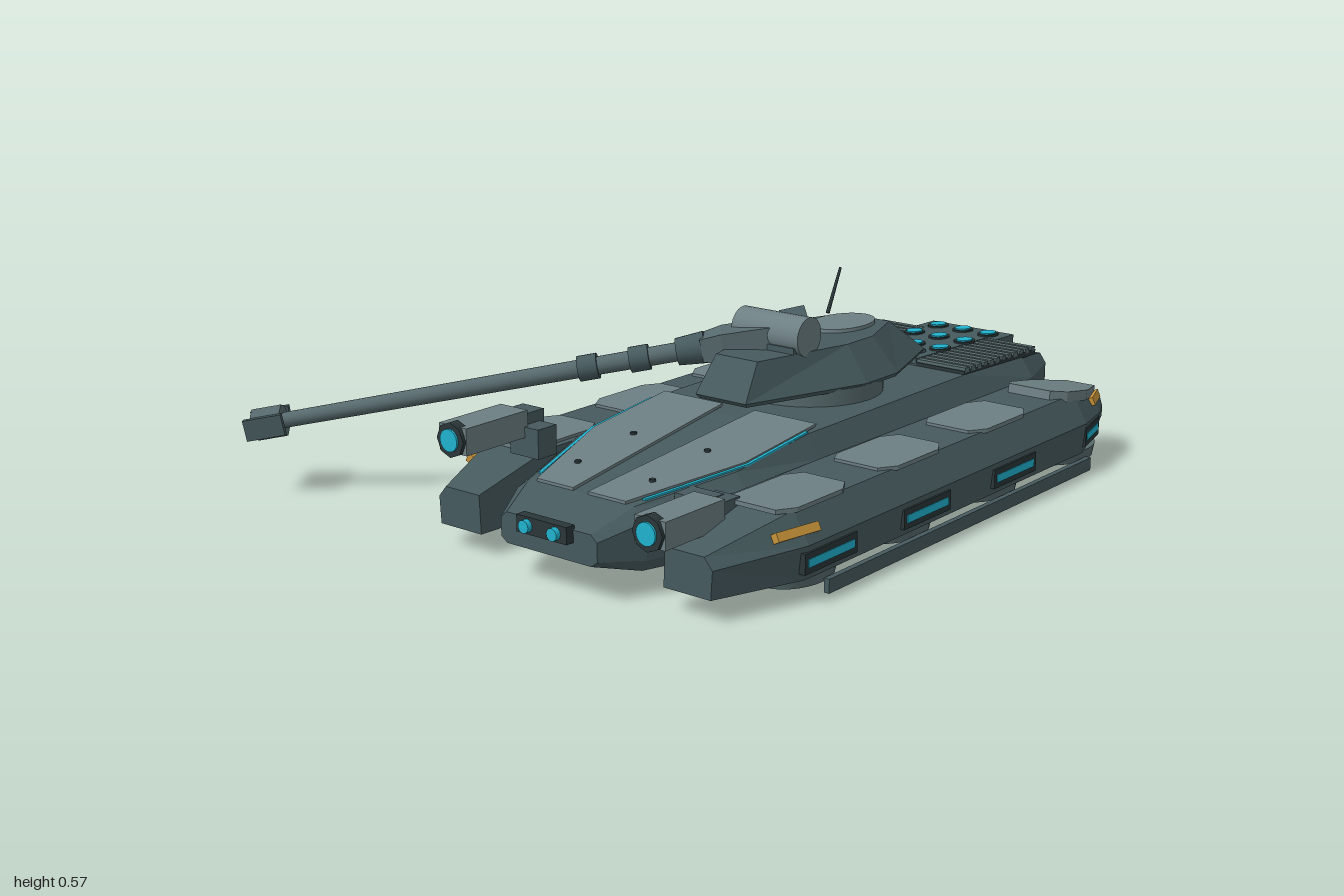
import * as THREE from 'three';

const mat = (name, color) => {
  const m = new THREE.MeshStandardMaterial({ color });
  m.name = name;
  return m;
};

export function createModel() {
  const HULL = mat('hull grey', 0x465a5e), LIGHT = mat('panel grey', 0x6d7f83), METAL = mat('gun metal', 0x576a6d);
  const DARK = mat('dark trim', 0x2a3639), GLOW = mat('cyan glow', 0x20b4d0), AMBER = mat('amber marker', 0xc8943a);
  const model = new THREE.Group();
  model.name = 'hoverTank';
  const body = new THREE.Group();
  body.name = 'body';
  body.position.x = 0.335;
  model.add(body);

  const add = (parent, name, geo, material, x = 0, y = 0, z = 0, rx = 0, ry = 0, rz = 0) => {
    const m = new THREE.Mesh(geo, material);
    m.name = name;
    m.position.set(x, y, z);
    m.rotation.set(rx, ry, rz);
    parent.add(m);
    return m;
  };
  const box = (w, h, d) => new THREE.BoxGeometry(w, h, d);
  const cyl = (r1, r2, h, n = 24) => new THREE.CylinderGeometry(r1, r2, h, n);
  const zCyl = (rFront, rBack, l, n = 20) => cyl(rFront, rBack, l, n).rotateX(Math.PI / 2);

  // Flat-faced skin through rings of [x, y, z] points, capped at both ends
  const loft = (rings) => {
    const pos = [], tri = (...p) => p.forEach((v) => pos.push(...v));
    const n = rings[0].length, last = rings[rings.length - 1];
    for (let k = 0; k < rings.length - 1; k++) for (let j = 0; j < n; j++) {
      const a = rings[k][j], b = rings[k][(j + 1) % n], c = rings[k + 1][(j + 1) % n], d = rings[k + 1][j];
      tri(a, b, c);
      tri(a, c, d);
    }
    for (let j = 1; j < n - 1; j++) {
      tri(rings[0][0], rings[0][j + 1], rings[0][j]);
      tri(last[0], last[j], last[j + 1]);
    }
    const g = new THREE.BufferGeometry();
    g.setAttribute('position', new THREE.Float32BufferAttribute(pos, 3));
    g.computeVertexNormals();
    return g;
  };
  // Horizontal plate from an outline of [x, z] points
  const plate = (pts, depth) => new THREE.ExtrudeGeometry(
    new THREE.Shape(pts.map(([x, z]) => new THREE.Vector2(x, -z))), { depth, bevelEnabled: false }).rotateX(-Math.PI / 2);

  // Hull: mirrored half sections from rear to nose
  const half = (z, p) => [...p.map(([x, y]) => [x, y, z]), ...p.slice().reverse().map(([x, y]) => [-x, y, z])];
  add(body, 'hull', loft([
    half(-1, [[0.23, 0.105], [0.255, 0.15], [0.255, 0.235], [0.235, 0.262]]),
    half(-0.82, [[0.27, 0.065], [0.31, 0.1], [0.315, 0.235], [0.275, 0.29]]),
    half(-0.5, [[0.28, 0.065], [0.31, 0.1], [0.312, 0.235], [0.275, 0.302]]),
    half(0.25, [[0.28, 0.065], [0.3, 0.1], [0.305, 0.235], [0.27, 0.298]]),
    half(0.55, [[0.28, 0.065], [0.295, 0.1], [0.295, 0.228], [0.262, 0.264]]),
    half(0.84, [[0.2, 0.07], [0.215, 0.1], [0.215, 0.2], [0.175, 0.23]]),
    half(0.96, [[0.14, 0.1], [0.16, 0.115], [0.16, 0.165], [0.14, 0.182]]),
  ]), HULL);

  // Glacis plates with glowing edges, following the slope of the bow
  const slope = (g) => {
    const p = g.attributes.position;
    for (let i = 0; i < p.count; i++) p.setY(i, p.getY(i) + 0.298 - (p.getZ(i) - 0.25) * 0.115);
    g.computeVertexNormals();
    return g;
  };
  for (const s of [1, -1]) {
    const side = new THREE.Group();
    side.name = s > 0 ? 'leftGlacis' : 'rightGlacis';
    side.scale.x = s;
    body.add(side);
    add(side, 'glacisPlate', slope(plate([[0.055, 0.2], [0.025, 0.84], [0.148, 0.84], [0.255, 0.5], [0.258, 0.2]], 0.008)), LIGHT);
    add(side, 'glacisGlow', slope(plate([[0.259, 0.25], [0.257, 0.5], [0.168, 0.8], [0.178, 0.8], [0.266, 0.5], [0.268, 0.25]], 0.005)), GLOW);
    for (const z of [0.49, 0.71]) add(side, 'bolt', cyl(0.009, 0.009, 0.014, 8), DARK, 0.125, 0.305 - (z - 0.25) * 0.115, z);
  }

  // Nose lamps
  add(body, 'noseLampHousing', box(0.166, 0.045, 0.03), DARK, 0, 0.172, 0.97);
  for (const x of [-0.047, 0.047]) add(body, 'noseLamp', zCyl(0.017, 0.017, 0.016, 12), GLOW, x, 0.172, 0.992);

  // Engine deck: slats and glowing vents
  const deck = new THREE.Group();
  deck.name = 'engineDeck';
  deck.position.set(0, 0.298, -0.7);
  deck.rotation.x = -0.03;
  body.add(deck);
  add(deck, 'deckBase', box(0.55, 0.016, 0.4), DARK);
  for (let i = 0; i < 12; i++) for (const s of [-1, 1])
    add(deck, 'slat', box(0.17, 0.014, 0.022), METAL, s * 0.19, 0.01, -0.185 + i * 0.0336);
  add(deck, 'ventPanel', box(0.22, 0.026, 0.44), HULL, 0, 0.006, -0.02);
  add(deck, 'rearVentPanel', box(0.29, 0.026, 0.1), HULL, 0, 0.005, -0.24);
  for (const z of [-0.23, -0.095, 0.04]) for (const x of [-0.09, 0, 0.09]) {
    add(deck, 'ventRim', cyl(0.029, 0.029, 0.018, 12).scale(1, 1, 1.4), DARK, x, 0.015, z);
    add(deck, 'vent', cyl(0.022, 0.022, 0.008, 12).scale(1, 1, 1.4), GLOW, x, 0.024, z);
  }
  add(body, 'deckBlock', box(0.165, 0.035, 0.09), HULL, 0, 0.312, -0.55);

  // Side pods, mirrored: inner bottom, outer bottom, outer waist, outer top, inner top
  const podRing = (z, p) => p.map(([x, y]) => [x, y, z]);
  const full = [[0.295, 0.065], [0.54, 0.065], [0.55, 0.155], [0.502, 0.235], [0.305, 0.235]];
  const podGeo = loft([
    podRing(-0.98, [[0.37, 0.11], [0.465, 0.11], [0.465, 0.14], [0.455, 0.17], [0.375, 0.17]]),
    podRing(-0.88, [[0.34, 0.065], [0.49, 0.065], [0.512, 0.15], [0.48, 0.2], [0.345, 0.2]]),
    podRing(-0.73, full),
    podRing(0.63, full),
    podRing(0.885, [[0.305, 0.065], [0.45, 0.065], [0.455, 0.14], [0.43, 0.17], [0.31, 0.17]]),
  ]);
  // Chamfered pad outline centred on its own middle
  const pad = (w, l, cx, rear) => [[-w, l - 0.04], [-w + 0.02, l], [w - 0.03, l], [w, l - 0.05],
    [w, -l + rear], [w - cx, -l], [-w + cx, -l], [-w, -l + rear]];
  for (const s of [1, -1]) {
    const pod = new THREE.Group();
    pod.name = s > 0 ? 'leftPod' : 'rightPod';
    pod.scale.x = s;
    body.add(pod);
    add(pod, 'podShell', podGeo, HULL);
    for (const z of [0.53, 0.095, -0.34]) add(pod, 'topPad', plate(pad(0.093, 0.145, 0.03, 0.05), 0.012), LIGHT, 0.418, 0.231, z);
    add(pod, 'rearTopPad', plate(pad(0.093, 0.148, 0.045, 0.13), 0.03), LIGHT, 0.418, 0.208, -0.775, -0.16);

    // Hover pads below
    for (const z of [0.54, 0.11, -0.33, -0.77]) {
      add(pod, 'hoverRing', cyl(0.09, 0.084, 0.035, 28).scale(1, 1, 1.45), METAL, 0.445, 0.05, z);
      add(pod, 'hoverGlow', cyl(0.066, 0.066, 0.006, 28).scale(1, 1, 1.45), GLOW, 0.445, 0.031, z);
    }
    // Skid rails
    for (const x of [0.285, 0.54]) add(pod, 'skidRail', box(0.016, 0.038, 1.31), HULL, x, 0.024, -0.115);

    // Side lamps and amber markers
    const lamp = (x, z, l, ry) => {
      add(pod, 'sideLampFrame', box(0.018, 0.054, l), DARK, x, 0.112, z, 0, ry);
      add(pod, 'sideLamp', box(0.022, 0.022, l - 0.025), GLOW, x, 0.112, z, 0, ry);
    };
    for (const z of [0.54, 0.11, -0.33]) lamp(0.545, z, 0.22, 0);
    lamp(0.523, -0.8, 0.15, 0.25);
    add(pod, 'frontMarker', box(0.022, 0.024, 0.14), AMBER, 0.522, 0.187, 0.645, 0, -0.18, 0.5);
    add(pod, 'rearMarker', box(0.022, 0.024, 0.1), AMBER, 0.484, 0.187, -0.885, 0, 0.35, 0.4);
  }

  // Bow gun pods, one raised and one low
  for (const [name, x, y, px, py] of [['rightGunPod', -0.33, 0.332, -0.285, 0.285], ['leftGunPod', 0.32, 0.225, 0.27, 0.21]]) {
    const gun = new THREE.Group();
    gun.name = name;
    gun.position.set(x, y, 0);
    body.add(gun);
    add(gun, 'gunCase', box(0.096, 0.072, 0.225), LIGHT, 0, 0, 0.84);
    add(gun, 'gunFace', zCyl(0.047, 0.047, 0.03, 8), DARK, 0, 0, 0.948);
    add(gun, 'gunLens', zCyl(0.03, 0.03, 0.01, 16), GLOW, 0, 0, 0.964);
    add(gun, 'gunBack', box(0.075, 0.05, 0.08), HULL, 0, -0.002, 0.695);
    add(body, 'gunMount', box(0.1, 0.08, 0.07), HULL, px, py, 0.705);
  }

  // Turret
  add(body, 'turretRing', cyl(0.21, 0.21, 0.06, 40), METAL, 0, 0.315, -0.12);
  const level = (y, p) => [...p.map(([x, z]) => [x, y, z]), ...p.slice().reverse().map(([x, z]) => [-x, y, z])];
  add(body, 'turret', loft([
    level(0.338, [[0.08, 0.27], [0.205, -0.1], [0.205, -0.25], [0.115, -0.52]]),
    level(0.35, [[0.085, 0.28], [0.212, -0.1], [0.212, -0.25], [0.118, -0.53]]),
    level(0.45, [[0.07, 0.21], [0.145, -0.1], [0.145, -0.22], [0.08, -0.4]]),
  ]), HULL);
  add(body, 'hatch', cyl(0.078, 0.08, 0.014, 32).scale(1, 1, 1.5), LIGHT, 0, 0.453, -0.28);
  add(body, 'antenna', cyl(0.004, 0.006, 0.14, 8), DARK, -0.122, 0.51, -0.41, -0.45);

  // Gun cradle
  add(body, 'cradleDrum', cyl(0.055, 0.055, 0.225, 28).rotateZ(Math.PI / 2), LIGHT, 0, 0.49, 0.035);
  add(body, 'cradleBase', box(0.2, 0.03, 0.1), HULL, 0, 0.452, 0.04);
  add(body, 'cradleBlock', box(0.07, 0.07, 0.09), HULL, 0.03, 0.5, -0.015, 0.3, 0.75);

  // Main gun, aimed along its own +z
  const cannon = new THREE.Group();
  cannon.name = 'mainGun';
  cannon.position.set(0.19, 0.445, 0.13);
  cannon.lookAt(-0.84, 0.2, 0.885);
  model.add(cannon);
  const frame = (z, w, h) => [[-w, -h, z], [w, -h, z], [w, h, z], [-w, h, z]];
  add(cannon, 'mantlet', loft([frame(-0.2, 0.06, 0.035), frame(-0.03, 0.06, 0.04), frame(0.03, 0.045, 0.032)]), METAL);
  add(cannon, 'barrel', zCyl(0.022, 0.027, 1.24), METAL, 0, 0, 0.62);
  add(cannon, 'barrelRoot', zCyl(0.038, 0.045, 0.08), HULL, 0, 0, 0.06);
  for (const z of [0.205, 0.35]) add(cannon, 'barrelSleeve', zCyl(0.036, 0.036, 0.055), HULL, 0, 0, z);
  add(cannon, 'muzzleBrake', zCyl(0.046, 0.046, 0.085, 8), METAL, 0, 0, 1.265);
  for (const s of [-1, 1]) add(cannon, 'muzzleCheek', box(0.018, 0.06, 0.11), HULL, s * 0.046, 0, 1.27);
  add(cannon, 'muzzleBore', zCyl(0.026, 0.026, 0.006), DARK, 0, 0, 1.309);
  return model;
}
